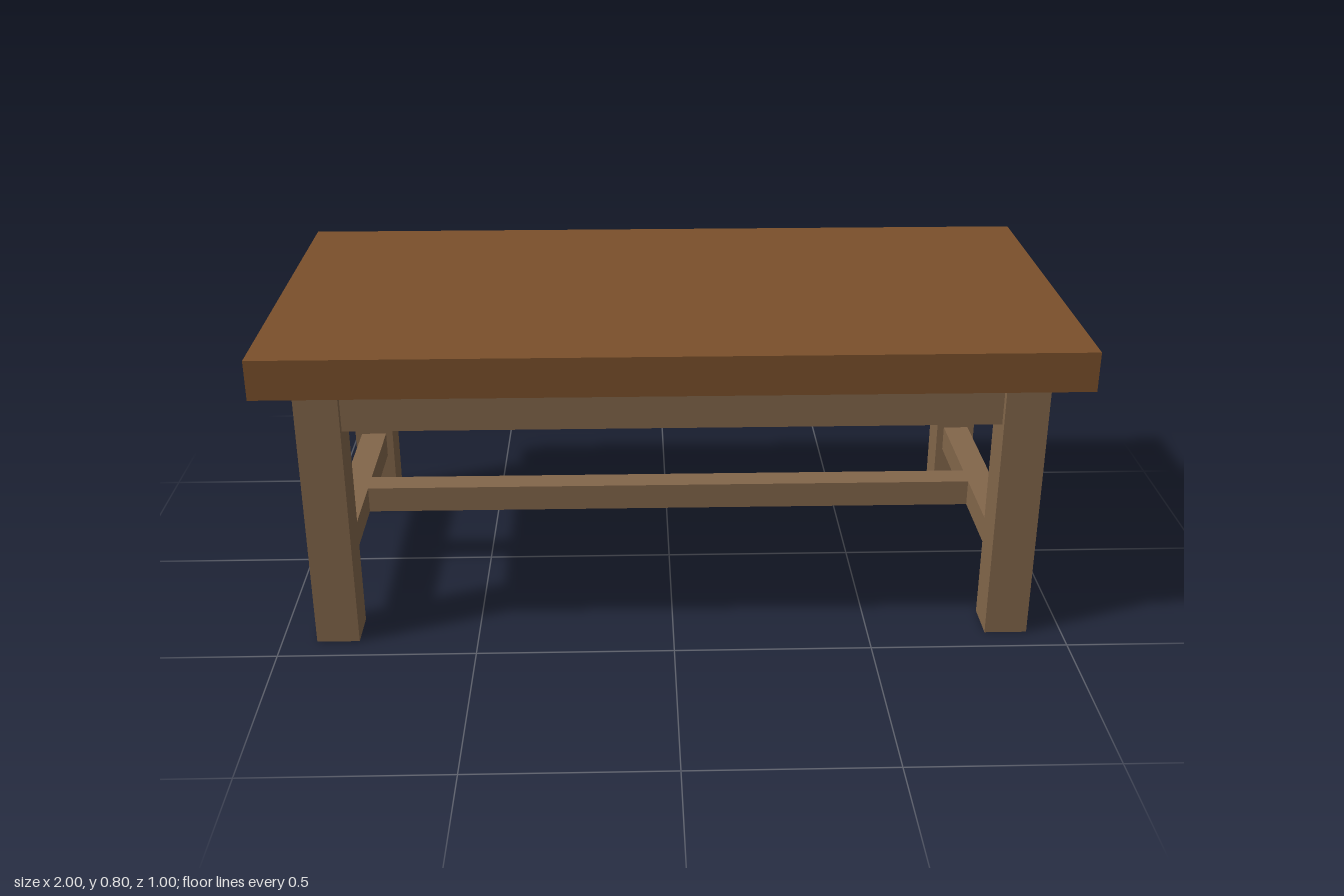
import * as THREE from 'three';

export function createModel() {
  const table = new THREE.Group();
  table.name = 'table';
  const topWood = new THREE.MeshStandardMaterial({ color: 0x7b502b });
  topWood.name = 'dark brown wood';
  const frameWood = new THREE.MeshStandardMaterial({ color: 0x82664a });
  frameWood.name = 'light brown wood';

  // Box given by its size, centre x and z, and bottom height
  function beam(name, material, w, h, d, x, bottom, z) {
    const mesh = new THREE.Mesh(new THREE.BoxGeometry(w, h, d), material);
    mesh.name = name;
    mesh.position.set(x, bottom + h / 2, z);
    table.add(mesh);
  }

  const legX = 0.857, legZ = 0.38, leg = 0.108, rail = 0.07;
  const spanX = 2 * legX - leg, spanZ = 2 * legZ - leg;
  const topY = 0.7, apronH = 0.12, stretcherY = 0.167;

  beam('tabletop', topWood, 2, 0.1, 1, 0, topY, 0);

  for (const s of [1, -1]) {
    const side = s > 0 ? 'left' : 'right';
    const face = s > 0 ? 'front' : 'back';
    // Legs
    beam(side + 'FrontLeg', frameWood, leg, topY, leg, s * legX, 0, legZ);
    beam(side + 'BackLeg', frameWood, leg, topY, leg, s * legX, 0, -legZ);
    // Aprons under the top
    beam(face + 'Apron', frameWood, spanX, apronH, rail, 0, topY - apronH, s * legZ);
    beam(side + 'Apron', frameWood, rail, apronH, spanZ, s * legX, topY - apronH, 0);
    // End stretchers between the legs
    beam(side + 'Stretcher', frameWood, rail, rail, spanZ, s * legX, stretcherY, 0);
  }

  // Long centre stretcher joining the two ends
  beam('centreStretcher', frameWood, 2 * legX - rail, rail, rail, 0, stretcherY, 0);

  return table;
}
